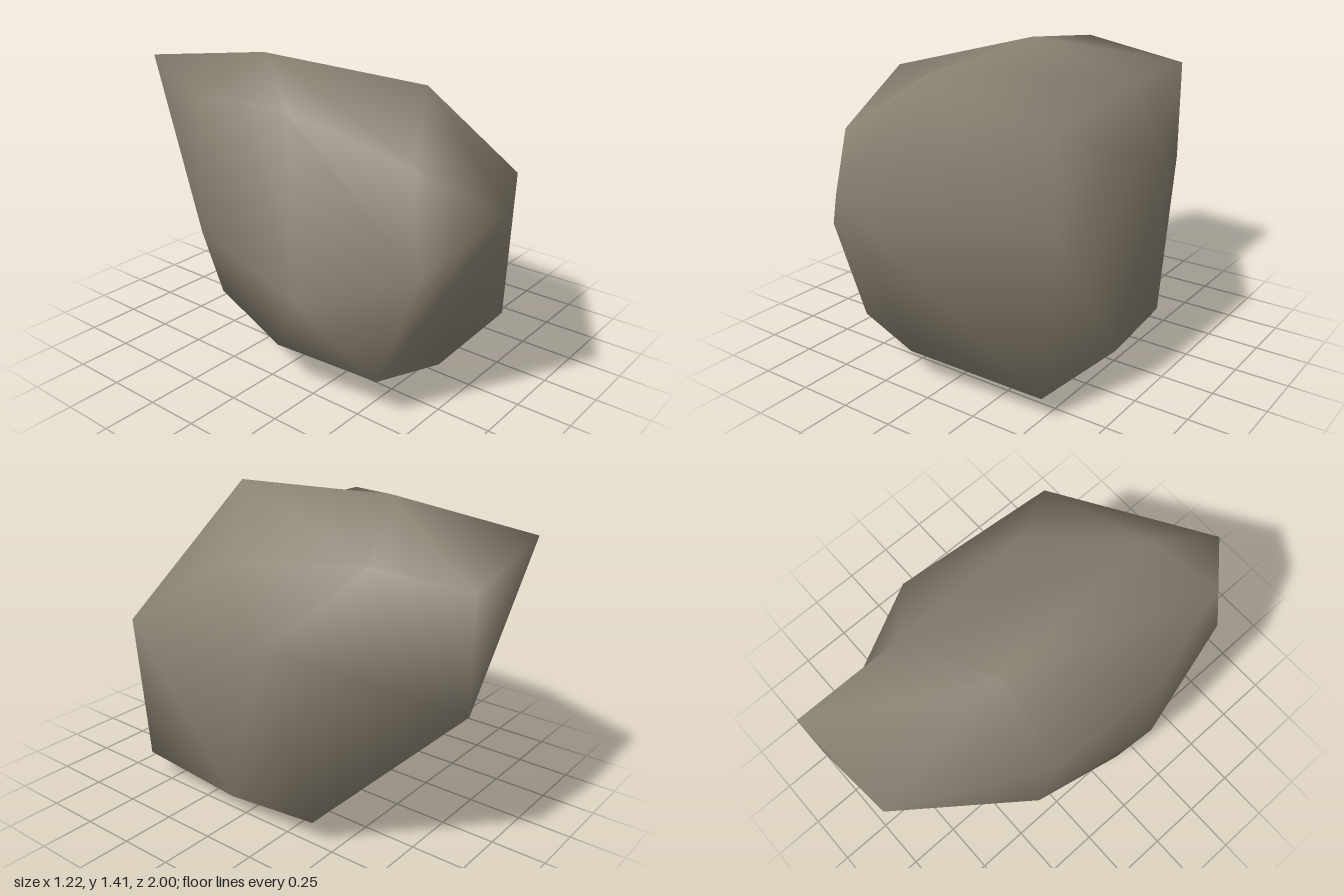
import * as THREE from 'three';
import { ConvexGeometry } from 'three/addons/geometries/ConvexGeometry.js';

// Corners of the boulder, from the crown down to the foot
const corners = [
  // crown 0-8
  [-0.18, 1.41, -0.3], [-0.12, 1.38, 0.55], [-0.26, 1.32, -0.97], [0.285, 1.225, -1],
  [0.285, 1.225, -0.5], [0.33, 1.135, 0.25], [-0.59, 1.31, 0.2], [-0.565, 1.27, -0.35],
  [-0.43, 1.14, 0.72],
  // girth 9-15
  [-0.21, 0.97, 1], [0.605, 0.92, -0.24], [0.575, 0.83, 0.615], [0.285, 0.715, -1],
  [-0.475, 0.72, 0.785], [-0.52, 0.61, -0.4], [-0.61, 0.5, 0.25],
  // foot 16-24
  [-0.4, 0.26, -0.41], [-0.56, 0.22, 0.1], [-0.5, 0.2, 0.6], [-0.15, 0.15, 0.68],
  [0.51, 0.11, 0.62], [0.535, 0.085, 0.05], [0.51, 0.11, -0.4], [0, 0.11, -0.4],
  [0.02, 0, 0.11],
].map((p) => new THREE.Vector3(...p));

// Hull ridges that are pressed in to become shallow hollows
const hollows = [
  [6, 1],   // crown, front left
  [3, 10],  // back, right shoulder
  [2, 16],  // back, left flank
  [18, 24], // foot, front left
];

// Triangles of the hull, as corner numbers
function hullFaces() {
  const position = new ConvexGeometry(corners).getAttribute('position');
  const faces = [];
  const point = new THREE.Vector3();
  for (let i = 0; i < position.count; i++) {
    point.fromBufferAttribute(position, i);
    if (i % 3 === 0) faces.push([]);
    faces.at(-1).push(corners.findIndex((c) => c.distanceTo(point) < 1e-4));
  }
  return faces;
}

// Swap the ridge a-b for the other diagonal of its two triangles
function pressIn(faces, a, b) {
  const next = (face, corner) => face[(face.indexOf(corner) + 1) % 3];
  const findFace = (from, to) => faces.findIndex((f) => f.includes(from) && next(f, from) === to);
  const one = findFace(a, b);
  const two = findFace(b, a);
  if (one < 0 || two < 0) return;
  const p = next(faces[one], b);
  const q = next(faces[two], a);
  faces[one] = [a, q, p];
  faces[two] = [q, b, p];
}

export function createModel() {
  const group = new THREE.Group();
  group.name = 'rock';

  const stone = new THREE.MeshStandardMaterial({ color: 0x8b8272 });
  stone.name = 'warm grey stone';

  const faces = hullFaces();
  for (const [a, b] of hollows) pressIn(faces, a, b);

  // Shared corners give the smooth, worn shading
  const geometry = new THREE.BufferGeometry().setFromPoints(corners);
  geometry.setIndex(faces.flat());
  geometry.computeVertexNormals();

  const boulder = new THREE.Mesh(geometry, stone);
  boulder.name = 'boulder';
  group.add(boulder);
  return group;
}
